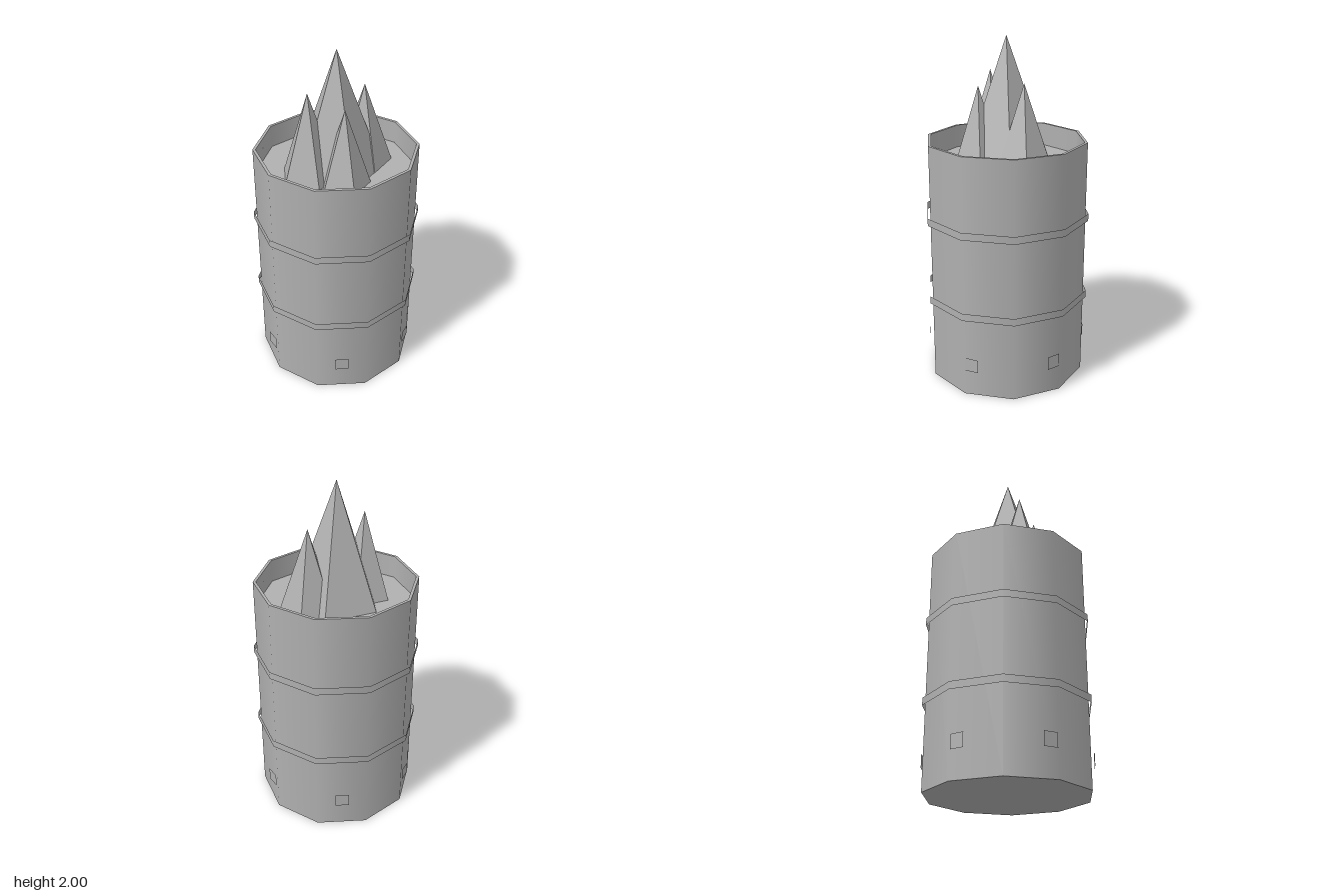
import * as THREE from 'three';

const SIDES = 10;

export function createModel() {
  const model = new THREE.Group();
  const grey = new THREE.MeshStandardMaterial({ color: 0xb0b0b0, side: THREE.DoubleSide });
  grey.name = 'plain grey';

  const add = (name, geometry, parent = model) => {
    const mesh = new THREE.Mesh(geometry, grey);
    mesh.name = name;
    parent.add(mesh);
    return mesh;
  };

  // One ten-sided band swept from (r0, y0) to (r1, y1); upwards faces outwards
  const band = (r0, y0, r1, y1) => new THREE.LatheGeometry(
    [new THREE.Vector2(r0, y0), new THREE.Vector2(r1, y1)], SIDES, Math.PI / 2);

  // Barrel: each band is separate so the corners stay sharp
  const R = 0.467, inner = 0.45, top = 1.42, floor = 1.285;
  const barrel = new THREE.Group();
  barrel.name = 'barrel';
  model.add(barrel);
  add('barrelBottom', band(0, 0, R, 0), barrel);
  add('barrelWall', band(R, 0, R, top), barrel);
  add('barrelRim', band(R, top, inner, top), barrel);
  add('barrelInnerWall', band(inner, top, inner, floor), barrel);
  add('barrelFuel', band(inner, floor, 0, floor), barrel);

  // Two raised hoops, open at their edges
  for (const y of [0.475, 0.958]) add('hoop', band(0.484, y, 0.484, y + 0.044));

  // Six square vent plates around the foot
  for (let i = 0; i < 6; i++) {
    const a = i * Math.PI / 3;
    const vent = add('ventPlate', new THREE.PlaneGeometry(0.08, 0.08));
    vent.position.set(0.47 * Math.sin(a), 0.197, 0.47 * Math.cos(a));
    vent.rotation.y = a;
  }

  // Five-sided flames: x, z, radius, tip height
  const flames = new THREE.Group();
  flames.name = 'flames';
  model.add(flames);
  const flameList = [
    [0, 0, 0.26, 2],
    [-0.16, 0.078, 0.165, 1.79],
    [0.16, -0.082, 0.163, 1.76],
    [0.033, 0.16, 0.145, 1.73],
  ];
  for (const [x, z, r, tip] of flameList) {
    const h = tip - floor;
    const cone = new THREE.ConeGeometry(r, h, 5, 1, true, Math.PI / 2).toNonIndexed();
    cone.computeVertexNormals();
    add('flame', cone, flames).position.set(x, floor + h / 2, z);
  }
  return model;
}
